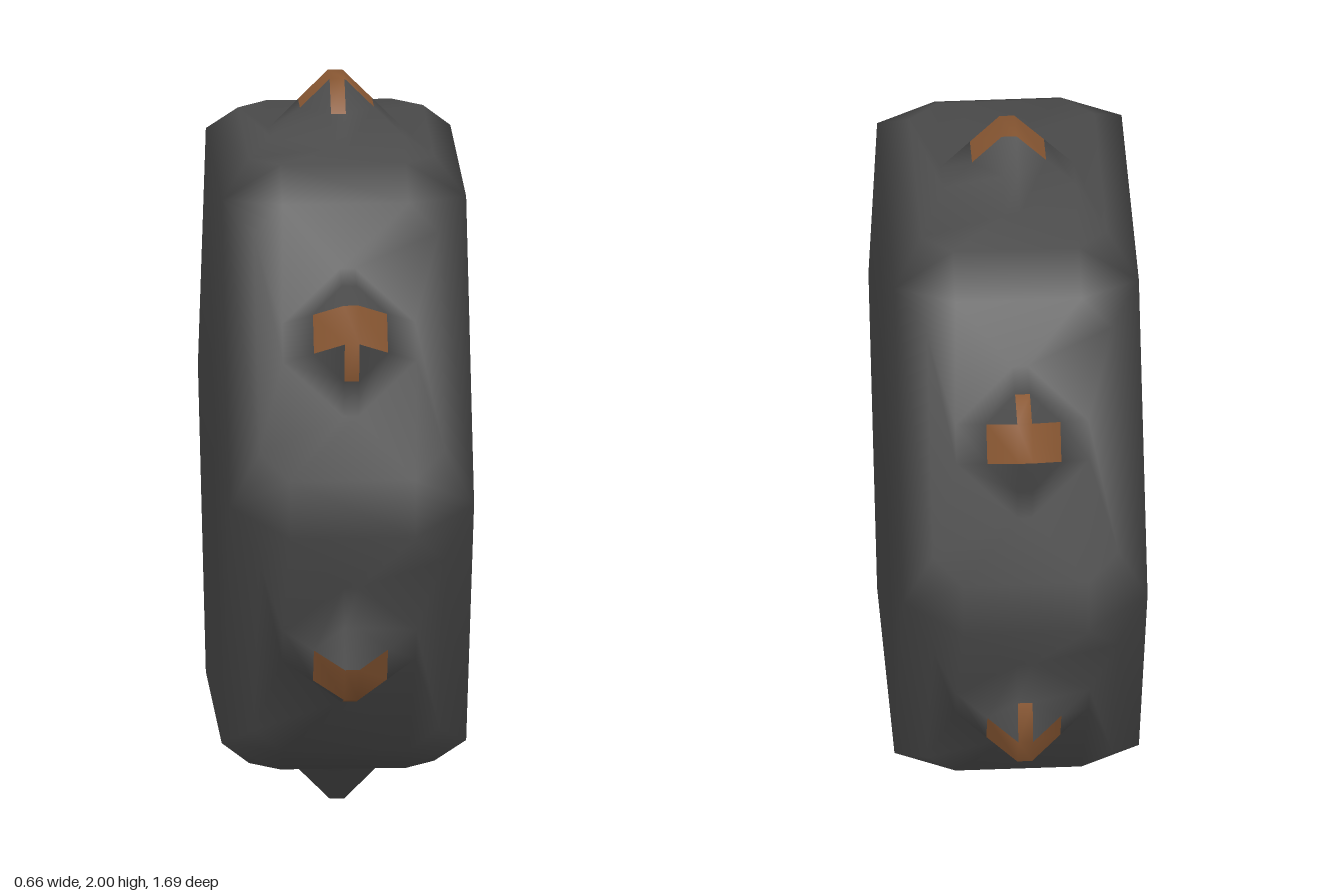
import * as THREE from 'three';
import { mergeVertices } from 'three/addons/utils/BufferGeometryUtils.js';

const SIDES = 6;
const STEP = (Math.PI * 2) / SIDES;
const Z_SCALE = 0.915; // the hexagon is slightly squeezed front to back

// Point on a rim panel: x across, r outward, w along the rim.
function panelPoint(panel, x, r, w) {
  const a = panel * STEP;
  return new THREE.Vector3(
    x,
    1 + r * Math.cos(a) - w * Math.sin(a),
    (r * Math.sin(a) + w * Math.cos(a)) * Z_SCALE
  );
}

// Eight-sided ring made of four mirrored pairs of corners.
function ring(panel, r, [x0, w0], [x1, w1]) {
  return [
    [x0, w0], [x1, w1], [x1, -w1], [x0, -w0],
    [-x0, -w0], [-x1, -w1], [-x1, w1], [-x0, w0],
  ].map(([x, w]) => panelPoint(panel, x, r, w));
}

// Turns convex polygons into one smooth, welded geometry.
function polygonsToGeometry(polygons) {
  const pos = [];
  for (const p of polygons) {
    for (let i = 1; i < p.length - 1; i++) {
      for (const v of [p[0], p[i], p[i + 1]]) pos.push(v.x, v.y, v.z);
    }
  }
  const geometry = new THREE.BufferGeometry();
  geometry.setAttribute('position', new THREE.Float32BufferAttribute(pos, 3));
  const welded = mergeVertices(geometry, 1e-4);
  welded.computeVertexNormals();
  return welded;
}

export function createModel() {
  const group = new THREE.Group();
  const body = [];
  const caps = [];

  // Rings of each panel: rim edge, stud foot, cap edge, stud tip
  const panels = [];
  for (let f = 0; f < SIDES; f++) {
    panels.push([
      ring(f, 0.84, [0.17, 0.393], [0.25, 0.31]),
      ring(f, 0.84, [0.02, 0.21], [0.18, 0.055]),
      ring(f, 0.92, [0.02, 0.135], [0.1, 0.055]),
      ring(f, 1.0, [0.02, 0.055], [0.02, 0.055]),
    ]);
  }
  const corner = (f, side) => panelPoint(f, side * 0.33, 0.755, 0.436);

  for (let f = 0; f < SIDES; f++) {
    const rings = panels[f];
    const capPolygons = [];

    // Panel surface rising into the stud
    for (let k = 0; k < 3; k++) {
      for (let i = 0; i < 8; i++) {
        const j = (i + 1) % 8;
        const quad = [rings[k][i], rings[k][j], rings[k + 1][j], rings[k + 1][i]];
        // Copper covers both x slopes and the leading slope near the tip
        const copper = k === 2 && (i === 1 || i === 5 || i === 7);
        (copper ? capPolygons : body).push(quad);
      }
    }
    const tip = rings[3];
    capPolygons.push([tip[0], tip[2], tip[4], tip[6]]);
    caps.push(capPolygons);

    // Chamfer to the next panel, with its two corner facets
    const a = rings[0];
    const b = panels[(f + 1) % SIDES][0];
    const left = corner(f, 1), right = corner(f, -1);
    const prevLeft = corner(f - 1, 1), prevRight = corner(f - 1, -1);
    body.push([a[7], b[4], b[3], a[0]]);
    body.push([left, a[1], a[0], b[3], b[2]]);
    body.push([right, b[5], b[4], a[7], a[6]]);

    // Side bevels
    body.push([a[2], a[1], left, prevLeft]);
    body.push([a[6], a[5], prevRight, right]);

    // Hexagonal side faces
    body.push([new THREE.Vector3(0.33, 1, 0), prevLeft, left]);
    body.push([new THREE.Vector3(-0.33, 1, 0), right, prevRight]);
  }

  const bodyMesh = new THREE.Mesh(
    polygonsToGeometry(body),
    new THREE.MeshStandardMaterial({ color: 0x4c4c4c })
  );
  bodyMesh.name = 'studdedWheelBody';
  group.add(bodyMesh);

  // Copper caps on the studs
  const copperMaterial = new THREE.MeshStandardMaterial({ color: 0x8a5833 });
  caps.forEach((polygons, i) => {
    const cap = new THREE.Mesh(polygonsToGeometry(polygons), copperMaterial);
    cap.name = `studCap${i + 1}`;
    group.add(cap);
  });
  return group;
}
